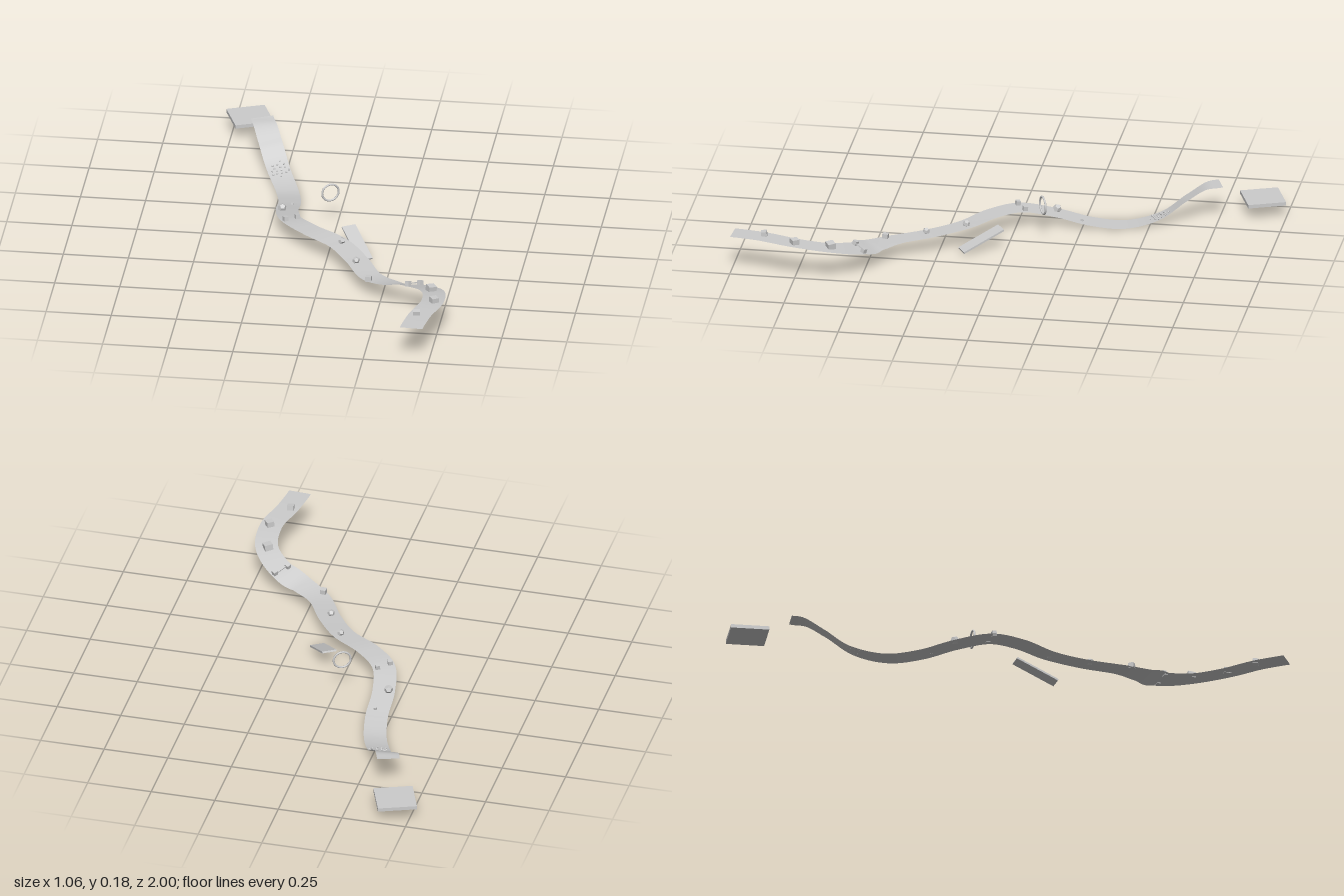
import * as THREE from 'three';

const grey = new THREE.MeshStandardMaterial({ color: 0xcccccc, side: THREE.DoubleSide });
const faceted = new THREE.MeshStandardMaterial({ color: 0xcccccc, flatShading: true });

// Centre line of the track: x, y, z
const curve = new THREE.CatmullRomCurve3([
  [0.435, 0.146, 1.0], [0.436, 0.146, 0.985], [0.452, 0.145, 0.88], [0.483, 0.14, 0.75],
  [0.466, 0.122, 0.62], [0.385, 0.093, 0.525], [0.29, 0.072, 0.475], [0.205, 0.063, 0.41],
  [0.13, 0.068, 0.28], [0.045, 0.076, 0.165], [-0.075, 0.08, 0.075], [-0.16, 0.074, -0.02],
  [-0.193, 0.047, -0.15], [-0.2, 0.018, -0.28], [-0.228, 0.003, -0.41], [-0.277, 0.028, -0.535],
  [-0.32, 0.09, -0.63], [-0.35, 0.13, -0.7], [-0.369, 0.137, -0.752],
].map(p => new THREE.Vector3(...p)), false, 'centripetal');

const WIDTH = 0.087;

// Position and axes at a parameter; the track banks with ground that rises and falls along z
function frameAt(t) {
  const p = curve.getPointAt(t);
  const tan = curve.getTangentAt(t);
  const side = new THREE.Vector3(-tan.z, 0, tan.x).normalize();
  side.y = 0.9 * side.z * tan.y / tan.z;
  const across = side.clone().normalize();
  const up = new THREE.Vector3().crossVectors(across, tan).normalize();
  return { p, side, across, up };
}

// Curve parameter whose centre is nearest to a plan position
function nearest(x, z) {
  let best = 0, bestD = Infinity;
  for (let i = 0; i <= 400; i++) {
    const p = curve.getPointAt(i / 400);
    const d = (p.x - x) ** 2 + (p.z - z) ** 2;
    if (d < bestD) { bestD = d; best = i / 400; }
  }
  return best;
}

// Thin ribbon swept along the centre line
function ribbon(steps) {
  const pos = [], idx = [];
  for (let i = 0; i <= steps; i++) {
    const { p, side } = frameAt(i / steps);
    for (const s of [-0.5, 0.5]) pos.push(...p.clone().addScaledVector(side, s * WIDTH).toArray());
    if (i < steps) {
      const a = i * 2;
      idx.push(a, a + 1, a + 2, a + 1, a + 3, a + 2);
    }
  }
  const g = new THREE.BufferGeometry();
  g.setAttribute('position', new THREE.Float32BufferAttribute(pos, 3));
  g.setIndex(idx);
  g.computeVertexNormals();
  return g;
}

export function createModel() {
  const model = new THREE.Group();
  model.name = 'trackCourse';

  const add = (name, geo, mat, x, y, z, ry = 0) => {
    const m = new THREE.Mesh(geo, mat);
    m.name = name;
    m.position.set(x, y, z);
    m.rotation.y = ry;
    model.add(m);
    return m;
  };

  // Sets a mesh on the track surface, aligned with it, then turned and tilted
  const setOnTrack = (name, geo, x, z, lift, turn = 0, tilt = 0) => {
    const { p, side, across, up } = frameAt(nearest(x, z));
    const offset = (x - p.x) * side.x + (z - p.z) * side.z;
    const at = p.clone().addScaledVector(side, offset).addScaledVector(up, lift);
    const m = add(name, geo, faceted, at.x, at.y, at.z);
    const back = new THREE.Vector3().crossVectors(across, up);
    m.quaternion.setFromRotationMatrix(new THREE.Matrix4().makeBasis(across, up, back));
    m.rotateY(turn);
    m.rotateX(tilt);
    return m;
  };

  add('track', ribbon(200), grey, 0, 0, 0);

  // Box obstacles: x, z, width, height, depth, turn, tilt
  for (const [x, z, w, h, d, turn, tilt] of [
    [0.44, 0.875, 0.026, 0.02, 0.022, 0.3, 0.15],
    [0.49, 0.75, 0.028, 0.022, 0.028, 0.7, 0.1],
    [0.462, 0.62, 0.032, 0.024, 0.03, 0.15, 0.25],
    [0.2, 0.45, 0.022, 0.02, 0.022, -0.93, 0],
    [-0.185, -0.245, 0.01, 0.01, 0.01, 0, 0],
  ]) setOnTrack('boxObstacle', new THREE.BoxGeometry(w, h, d), x, z, h * 0.4, turn, tilt);

  // Rocks: x, z, radius
  for (const [x, z, r] of [[0.13, 0.3, 0.014], [0.057, 0.16, 0.014], [-0.212, -0.145, 0.017]])
    setOnTrack('rock', new THREE.DodecahedronGeometry(r), x, z, r * 0.6, r * 100);

  // Posts standing at the track edges, one pair joined by a bar
  for (const [x, z] of [[0.402, 0.5], [0.363, 0.541], [-0.14, -0.035], [-0.18, 0.0]])
    setOnTrack('gatePost', new THREE.BoxGeometry(0.017, 0.02, 0.017), x, z, 0.007);
  setOnTrack('gateBar', new THREE.BoxGeometry(0.055, 0.004, 0.004), 0.382, 0.521, 0.009);

  // Scattered pebbles in the dip
  let seed = 7;
  const rand = () => (seed = (seed * 16807) % 2147483647) / 2147483647;
  for (let i = 0; i < 16; i++) {
    const a = i * 2.4, r = 0.038 * Math.sqrt((i + 0.5) / 16);
    const s = 0.0035 + rand() * 0.0015;
    setOnTrack('pebble', new THREE.IcosahedronGeometry(s, 0),
      -0.272 + r * Math.cos(a), -0.53 + r * Math.sin(a), s * 0.5, rand() * 3);
  }

  // Floating hoop
  add('hoop', new THREE.TorusGeometry(0.0335, 0.004, 8, 40), grey, -0.023, 0.146, -0.122, 0.49);

  // Sloping side ramp
  const ramp = add('sideRamp', new THREE.BoxGeometry(0.056, 0.007, 0.178), faceted, 0.108, 0.046, 0.094);
  ramp.rotation.set(0.4, 0.545, 0, 'YXZ');

  // Separate landing platform beyond the jump
  add('landingPlatform', new THREE.BoxGeometry(0.15, 0.014, 0.147), faceted, -0.435, 0.06, -0.904, 0.37);

  return model;
}
